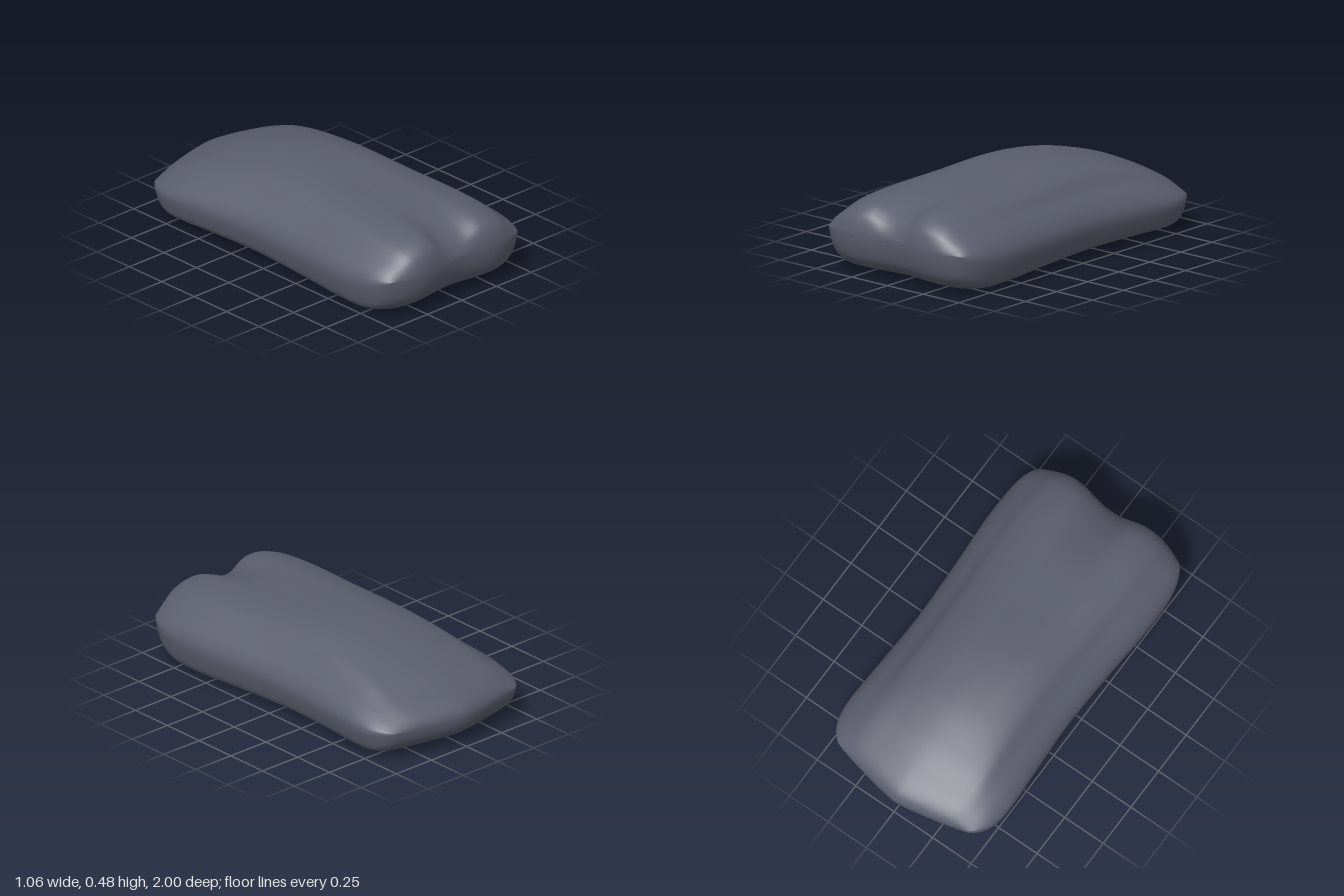
import * as THREE from 'three';

// Cross-sections from front to back:
// z, half width, bottom, widest height, shoulder height, ridge height, centre top
const SECTIONS = [
  [1.0, 0.46, 0.23, 0.23, 0.23, 0.23, 0.23],
  [0.985, 0.482, 0.14, 0.22, 0.275, 0.315, 0.275],
  [0.95, 0.502, 0.075, 0.21, 0.305, 0.365, 0.315],
  [0.88, 0.517, 0.03, 0.2, 0.325, 0.402, 0.355],
  [0.75, 0.524, 0.004, 0.19, 0.34, 0.424, 0.398],
  [0.55, 0.525, 0.004, 0.19, 0.345, 0.437, 0.436],
  [0.25, 0.508, 0.015, 0.19, 0.345, 0.45, 0.455],
  [-0.1, 0.496, 0.026, 0.19, 0.345, 0.463, 0.476],
  [-0.4, 0.508, 0.028, 0.185, 0.33, 0.432, 0.45],
  [-0.65, 0.52, 0.024, 0.18, 0.302, 0.372, 0.388],
  [-0.82, 0.517, 0.026, 0.175, 0.27, 0.312, 0.322],
  [-0.92, 0.498, 0.05, 0.175, 0.24, 0.268, 0.273],
  [-0.98, 0.458, 0.1, 0.175, 0.208, 0.222, 0.226],
  [-1.0, 0.42, 0.175, 0.175, 0.175, 0.175, 0.175],
];

function catmull(a, b, c, d, t) {
  return 0.5 * (2 * b + (c - a) * t + (2 * a - 5 * b + 4 * c - d) * t * t
    + (3 * b - a - 3 * c + d) * t * t * t);
}

// Smoothly blended section; ghost rows past each end round off the tips
function sectionAt(u) {
  const last = SECTIONS.length - 1;
  const i = Math.min(Math.floor(u * last), last - 1);
  const t = u * last - i;
  const value = (k, c) => {
    if (k >= 0 && k <= last) return SECTIONS[k][c];
    const end = k < 0 ? 0 : last;
    const next = SECTIONS[k < 0 ? 1 : last - 1][c];
    return c < 2 ? next : 2 * SECTIONS[end][c] - next;
  };
  return SECTIONS[0].map((_, c) =>
    catmull(value(i - 1, c), value(i, c), value(i + 1, c), value(i + 2, c), t));
}

// Closed outline of one section, counter-clockwise seen from the front
function outline([, w, b, m, s, r, t]) {
  const half = [
    [0.45, b], [0.8, b + 0.02 * (m - b)], [0.925, b + 0.17 * (m - b)], [0.98, b + 0.55 * (m - b)],
    [1, m + 0.06 * (s - m)], [0.93, m + 0.52 * (s - m)], [0.77, s],
    [0.64, s + 0.57 * (r - s)], [0.36, r], [0.15, t + 0.2 * (r - t)],
  ];
  const right = half.map(([x, y]) => new THREE.Vector3(x * w, y, 0));
  const left = half.map(([x, y]) => new THREE.Vector3(-x * w, y, 0)).reverse();
  return new THREE.CatmullRomCurve3(
    [new THREE.Vector3(0, b, 0), ...right, new THREE.Vector3(0, t, 0), ...left], true, 'centripetal');
}

// Plan shape of the ends: two lobes in front, a soft point at the back
function endShift(x, z) {
  const a = Math.abs(x);
  if (z > 0) {
    const k = THREE.MathUtils.smoothstep(z, 0.6, 1);
    return k * (a < 0.25 ? -0.03 * (1 - (a / 0.25) ** 2) ** 2 : -0.06 * ((a - 0.25) / 0.21) ** 2);
  }
  return THREE.MathUtils.smoothstep(-z, 0.5, 1) * 0.08 * (a / 0.4) ** 1.3;
}

function bodyGeometry(rows = 156, cols = 88) {
  const position = [], index = [];
  for (let i = 0; i <= rows; i++) {
    const section = sectionAt(i / rows);
    const curve = outline(section);
    for (let j = 0; j < cols; j++) {
      const p = curve.getPoint(j / cols);
      position.push(p.x, p.y, section[0] + endShift(p.x, section[0]));
    }
  }
  for (let i = 0; i < rows; i++) {
    for (let j = 0; j < cols; j++) {
      const a = i * cols + j, b = i * cols + (j + 1) % cols;
      index.push(a, a + cols, b, b, a + cols, b + cols);
    }
  }
  const geometry = new THREE.BufferGeometry();
  geometry.setAttribute('position', new THREE.Float32BufferAttribute(position, 3));
  geometry.setIndex(index);
  geometry.computeVertexNormals();
  return geometry;
}

export function createModel() {
  const group = new THREE.Group();
  group.name = 'mouseShell';
  const body = new THREE.Mesh(bodyGeometry(), new THREE.MeshStandardMaterial({ color: 0x5a5d6c }));
  body.name = 'body';
  group.add(body);
  return group;
}
